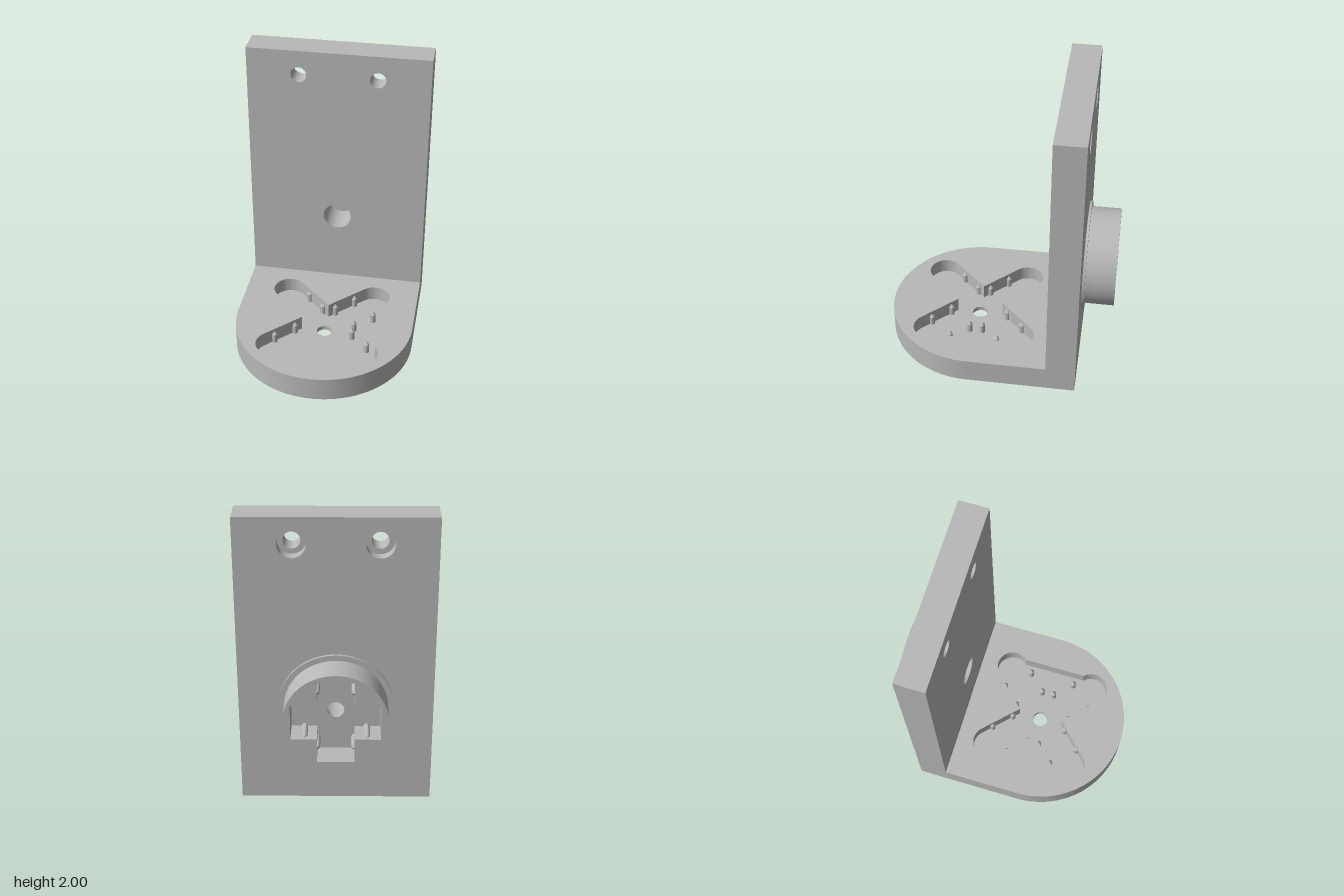
import * as THREE from 'three';
import { toCreasedNormals } from 'three/addons/utils/BufferGeometryUtils.js';

const gray = new THREE.MeshStandardMaterial({ color: 0xb8b8b8 });
gray.name = 'plain gray';

// Circular outline or hole
function circle(x, y, r, Kind = THREE.Path) {
  const path = new Kind();
  path.absarc(x, y, r, 0, Math.PI * 2, false);
  return path;
}

// Four-armed pocket with round arm ends, turned 45 degrees
function roundCross(w, reach) {
  const path = new THREE.Path();
  for (let k = 0; k < 4; k++) {
    const a = Math.PI / 4 + k * Math.PI / 2;
    const cx = Math.cos(a), cy = Math.sin(a);
    const ix = Math.cos(a - Math.PI / 4) * w * Math.SQRT2;
    const iy = Math.sin(a - Math.PI / 4) * w * Math.SQRT2;
    if (k === 0) path.moveTo(ix, iy); else path.lineTo(ix, iy);
    path.absarc(cx * reach, cy * reach, w, a - Math.PI / 2, a + Math.PI / 2, false);
  }
  path.closePath();
  return path;
}

// Four-armed pocket with square arm ends
function squareCross(w, reach) {
  const points = [];
  for (let k = 0; k < 4; k++) {
    const c = Math.round(Math.cos(k * Math.PI / 2)), s = Math.round(Math.sin(k * Math.PI / 2));
    for (const [u, v] of [[w, -w], [reach, -w], [reach, w]]) {
      points.push(new THREE.Vector2(u * c - v * s, u * s + v * c));
    }
  }
  return new THREE.Path(points);
}

// A plate from z0 to z1 with holes
function plate(name, shape, holes, z0, z1) {
  shape.holes.push(...holes);
  const geo = new THREE.ExtrudeGeometry(shape, { depth: z1 - z0, bevelEnabled: false, curveSegments: 40 });
  geo.translate(0, 0, z0);
  const mesh = new THREE.Mesh(toCreasedNormals(geo, 0.5), gray);
  mesh.name = name;
  return mesh;
}

// Pointed grip pins along both sides of each arm, standing along +z
function gripPins(name, w, stations, turn, z0, height) {
  const group = new THREE.Group();
  group.name = name;
  const r = 0.02, tip = 0.025;
  const profile = [[r, 0], [r, height - tip], [0, height]].map(([x, y]) => new THREE.Vector2(x, y));
  const geo = toCreasedNormals(new THREE.LatheGeometry(profile, 20).rotateX(Math.PI / 2), 0.5);
  for (let k = 0; k < 4; k++) {
    const a = turn + k * Math.PI / 2;
    for (const u of stations) {
      for (const v of [-w, w]) {
        const pin = new THREE.Mesh(geo, gray);
        pin.name = 'gripPin';
        pin.position.set(u * Math.cos(a) - v * Math.sin(a), u * Math.sin(a) + v * Math.cos(a), z0);
        group.add(pin);
      }
    }
  }
  return group;
}

export function createModel() {
  const model = new THREE.Group();
  model.name = 'angleBracket';
  const W = 0.633, BASE = 0.175, FRONT = -0.38, BACK = -0.585;

  // Base with a round front, drawn flat and laid down
  const base = new THREE.Group();
  base.name = 'base';
  base.rotation.x = -Math.PI / 2;
  base.position.z = 0.17;
  const baseShape = () => {
    const s = new THREE.Shape();
    s.moveTo(-W, 0.17 - BACK);
    s.lineTo(-W, 0);
    s.absarc(0, 0, W, Math.PI, Math.PI * 2, false);
    s.lineTo(W, 0.17 - BACK);
    s.closePath();
    return s;
  };
  base.add(
    plate('baseUnderside', baseShape(), [circle(0, 0, 0.1)], 0, 0.035),
    plate('basePocketFloor', baseShape(), [circle(0, 0, 0.055)], 0.035, 0.068),
    plate('basePocketWalls', baseShape(), [roundCross(0.116, 0.445)], 0.068, BASE),
    gripPins('basePins', 0.114, [0.178, 0.352], Math.PI / 4, 0.068, 0.09)
  );
  model.add(base);

  // Upright wall; the upper screw holes widen at the back
  const wallShape = () => new THREE.Shape([[-W, BASE], [W, BASE], [W, 2], [-W, 2]].map(p => new THREE.Vector2(...p)));
  const wallHoles = r => [circle(-0.273, 1.825, r), circle(0.273, 1.825, r), circle(0, 0.705, 0.1)];
  model.add(
    plate('wallFront', wallShape(), wallHoles(0.055), -0.51, FRONT),
    plate('wallBack', wallShape(), wallHoles(0.09), BACK, -0.51)
  );

  // Round socket on the back of the wall
  const socket = new THREE.Group();
  socket.name = 'socket';
  socket.position.y = 0.705;
  const disc = r => circle(0, 0, r, THREE.Shape);
  const pins = gripPins('socketPins', 0.12, [0.2], 0, 0.635, 0.15);
  pins.rotation.y = Math.PI;
  socket.add(
    plate('socketFlange', disc(0.375), [circle(0, 0, 0.1)], -0.602, BACK),
    plate('socketFloor', disc(0.338), [circle(0, 0, 0.055)], -0.635, -0.602),
    plate('socketRim', disc(0.338), [squareCross(0.12, 0.288)], -0.805, -0.635),
    pins
  );
  model.add(socket);
  return model;
}
